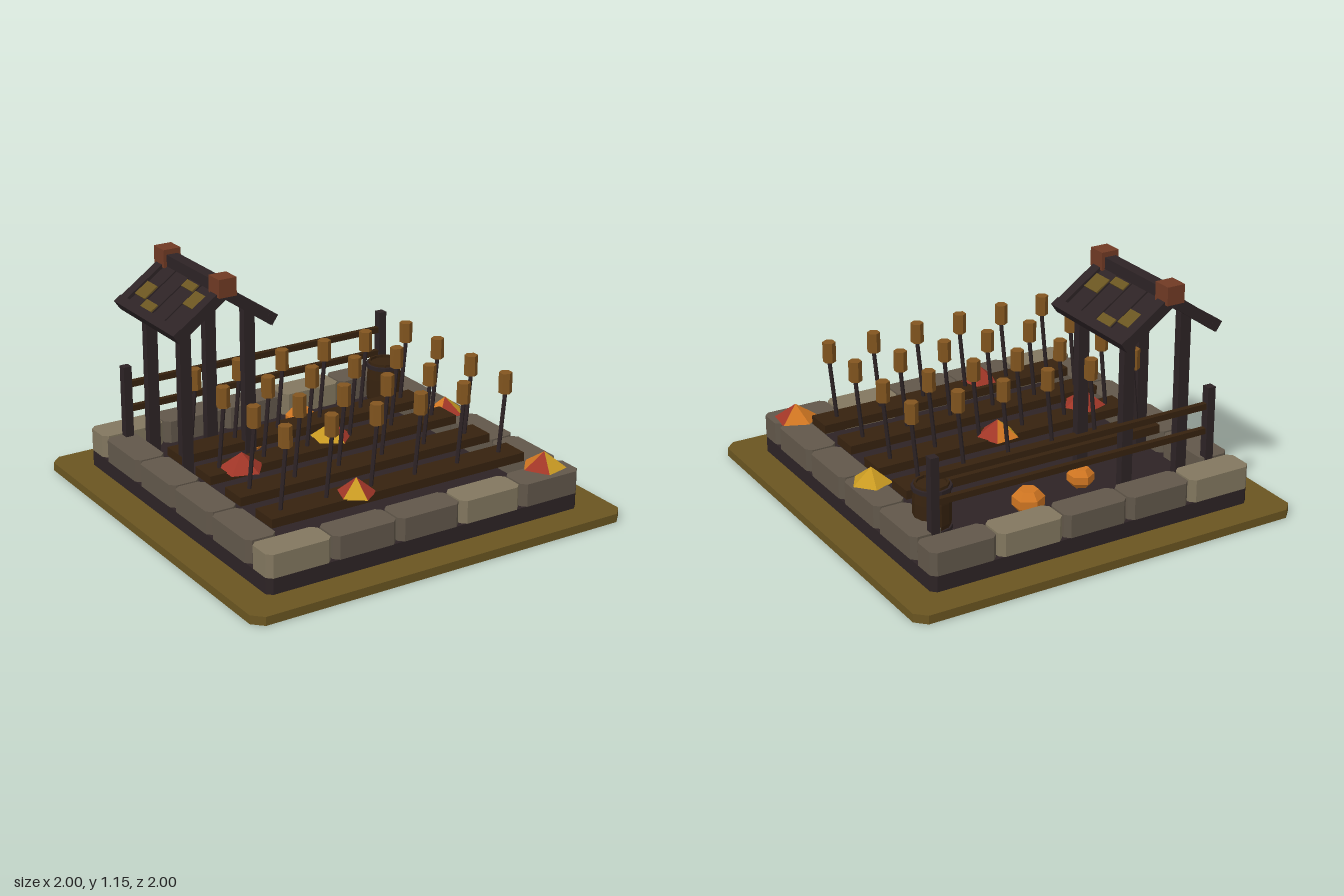
import * as THREE from 'three';

const paint = (name, color, side = THREE.FrontSide) => {
  const m = new THREE.MeshStandardMaterial({ color, side });
  m.name = name;
  return m;
};

export function createModel() {
  const grass = paint('dry grass', 0x6a5521), dark = paint('dark timber', 0x2d2325);
  const brown = paint('brown wood', 0x36220f), paleStone = paint('pale stone', 0x82775f);
  const stone = paint('grey stone', 0x61574a), straw = paint('seed head', 0x82551f);
  const rust = paint('rusty wood', 0x703a24);
  const red = paint('red leaves', 0xa03627), yellow = paint('yellow leaves', 0xc99a22);
  const orange = paint('orange', 0xd07622);

  const model = new THREE.Group();
  model.name = 'gardenPlot';

  const add = (name, geo, mat, x = 0, y = 0, z = 0, parent = model) => {
    const flat = geo.index ? geo.toNonIndexed() : geo;
    flat.computeVertexNormals();
    const mesh = new THREE.Mesh(flat, mat);
    mesh.name = name;
    mesh.position.set(x, y, z);
    parent.add(mesh);
    return mesh;
  };
  const group = (name, x = 0, y = 0, z = 0) => {
    const g = new THREE.Group();
    g.name = name;
    g.position.set(x, y, z);
    model.add(g);
    return g;
  };
  // Box given by its lower and upper limits
  const box = (name, mat, x0, x1, y0, y1, z0, z1, parent = model) =>
    add(name, new THREE.BoxGeometry(x1 - x0, y1 - y0, z1 - z0), mat,
      (x0 + x1) / 2, (y0 + y1) / 2, (z0 + z1) / 2, parent);
  // Upright slab whose vertical edges are chamfered
  const slab = (name, mat, x, z, w, d, y0, y1, c, parent = model) => {
    const a = w / 2, b = d / 2;
    const pts = [[a - c, -b], [a, c - b], [a, b - c], [a - c, b], [c - a, b], [-a, b - c], [-a, c - b], [c - a, -b]];
    const geo = new THREE.ExtrudeGeometry(new THREE.Shape(pts.map(p => new THREE.Vector2(...p))),
      { depth: y1 - y0, bevelEnabled: false });
    geo.rotateX(-Math.PI / 2);
    return add(name, geo, mat, x, y0, z, parent);
  };

  // Ground and soil
  slab('ground', grass, 0, 0, 2, 2, 0, 0.042, 0.05);
  slab('soil', dark, 0, 0, 1.69, 1.69, 0.042, 0.12, 0.025);

  // Stone border
  const border = group('stoneBorder');
  for (const s of [-1, 1]) {
    for (let i = 0; i < 5; i++)
      slab('borderStone', i % 3 === 0 ? paleStone : stone, (i - 2) * 0.34, s * 0.77, 0.33, 0.155, 0.12, 0.232, 0.025, border);
    for (let i = 0; i < 4; i++)
      slab('borderStone', stone, s * 0.77, (i - 1.5) * 0.341, 0.155, 0.328, 0.12, 0.232, 0.025, border);
  }

  // Planting beds with leaning stalks and six-sided heads
  for (const z of [-0.265, 0.005, 0.28, 0.55]) {
    const row = group('plantRow', 0, 0, z);
    box('bedPlank', brown, -0.69, 0.69, 0.232, 0.275, -0.07, 0.07, row);
    for (let i = 0; i < 6; i++) {
      const x = -0.575 + i * 0.239;
      const stalk = add('stalk', new THREE.CylinderGeometry(0.01, 0.01, 0.34, 6), dark, x - 0.014, 0.42, 0, row);
      stalk.rotation.z = -0.1;
      add('seedHead', new THREE.CylinderGeometry(0.032, 0.032, 0.1, 6), straw, x, 0.62, 0, row);
    }
  }

  // Gate shelter posts
  const shelter = group('shelter', -0.49, 0, -0.395);
  for (const [x, z] of [[-0.17, 0.188], [0.17, 0.188], [-0.17, -0.14], [0.17, -0.185]])
    box('post', dark, x - 0.029, x + 0.029, 0.12, x * x > 0 ? 0.94 : 0.9, z - 0.021, z + 0.021, shelter);

  // Roof: each slope is built flat, then tilted down from the ridge
  const patches = [[0.055, 0.125], [0.03, 0.065], [0.18, 0.22], [0.115, 0.185]];
  const tilt = 0.61;
  for (const s of [-1, 1]) {
    const slope = new THREE.Group();
    slope.name = s < 0 ? 'rightRoofSlope' : 'leftRoofSlope';
    slope.position.y = 1.072;
    slope.rotation.z = -s * tilt;
    shelter.add(slope);
    const part = (name, mat, a, b, y0, y1, z0, z1) =>
      box(name, mat, Math.min(s * a, s * b), Math.max(s * a, s * b), y0, y1, z0, z1, slope);
    for (const z of [-0.262, 0.262]) part('rafter', dark, 0, 0.31, -0.028, 0.026, z - 0.029, z + 0.029);
    part('eaveBeam', dark, 0.27, 0.316, -0.026, 0.03, -0.292, 0.292);
    patches.forEach(([a, b], i) => {
      const z1 = 0.235 - i * 0.1225, z0 = z1 - 0.113;
      part('roofBoard', dark, 0.01, 0.275, -0.015, 0.01, z0, z1);
      part('roofPatch', grass, a / Math.cos(tilt), b / Math.cos(tilt), 0.01, 0.017, z0 + 0.004, z1 - 0.004);
    });
  }
  box('ridgeBeam', dark, -0.03, 0.03, 1.065, 1.122, -0.25, 0.25, shelter);
  for (const z of [-0.262, 0.265]) box('ridgeCap', rust, -0.046, 0.046, 1.058, 1.147, z - 0.048, z + 0.048, shelter);

  // Back fence
  const fence = group('fence', 0, 0, -0.657);
  for (const x of [-0.733, 0.733]) box('fencePost', dark, x - 0.021, x + 0.021, 0.12, 0.59, -0.021, 0.021, fence);
  for (const y of [0.37, 0.495]) box('fenceRail', brown, -0.715, 0.715, y - 0.015, y + 0.015, -0.013, 0.013, fence);

  // Barrel
  const barrel = group('barrel', 0.655, 0, -0.505);
  const profile = pts => new THREE.LatheGeometry(pts.map(p => new THREE.Vector2(...p)), 12);
  add('barrelStaves', profile([[0, 0.12], [0.075, 0.12], [0.088, 0.2], [0.088, 0.3], [0.08, 0.388], [0.07, 0.388], [0.07, 0.375], [0, 0.375]]), brown, 0, 0, 0, barrel);
  for (const y of [0.17, 0.365])
    add('barrelHoop', profile([[0.08, y - 0.01], [0.093, y - 0.01], [0.093, y + 0.01], [0.08, y + 0.01]]), dark, 0, 0, 0, barrel);

  // Pumpkins
  for (const [x, z, r] of [[0.16, -0.515, 0.077], [-0.185, -0.42, 0.065]]) {
    const pts = [[0, 0], [0.65, 0], [1, 0.4], [1, 0.95], [0.6, 1.4], [0, 1.4]];
    add('pumpkin', new THREE.LatheGeometry(pts.map(p => new THREE.Vector2(p[0] * r, p[1] * r)), 6), orange, x, 0.12, z);
  }

  // Leaf piles: five-sided cones, one colour per face
  const leaves = [red, yellow, orange];
  const pile = (x, y, z, r, h, turn, faces) => {
    const pos = [], geo = new THREE.BufferGeometry();
    const rim = i => [r * Math.sin(turn + i * Math.PI * 0.4), 0, r * Math.cos(turn + i * Math.PI * 0.4)];
    faces.forEach((f, i) => {
      pos.push(...rim(i), ...rim(i + 1), 0, h, 0);
      geo.addGroup(i * 3, 3, f);
    });
    for (let i = 0; i < 5; i++) pos.push(...rim(i + 1), ...rim(i), 0, 0, 0);
    geo.addGroup(15, 15, faces[0]);
    geo.setAttribute('position', new THREE.Float32BufferAttribute(pos, 3));
    add('leafPile', geo, leaves, x, y, z);
  };
  // Faces run from the front round by the left side
  pile(-0.515, 0.272, 0.06, 0.11, 0.08, 0.3, [0, 0, 0, 0, 0]);
  pile(0.03, 0.272, -0.025, 0.105, 0.08, 0.1, [0, 0, 2, 1, 1]);
  pile(-0.225, 0.272, 0.58, 0.095, 0.08, 0, [0, 0, 0, 0, 1]);
  pile(0.74, 0.23, -0.09, 0.1, 0.078, 0.4, [1, 1, 1, 2, 0]);
  pile(0.73, 0.23, 0.72, 0.11, 0.078, -0.4, [1, 0, 2, 2, 0]);

  return model;
}
